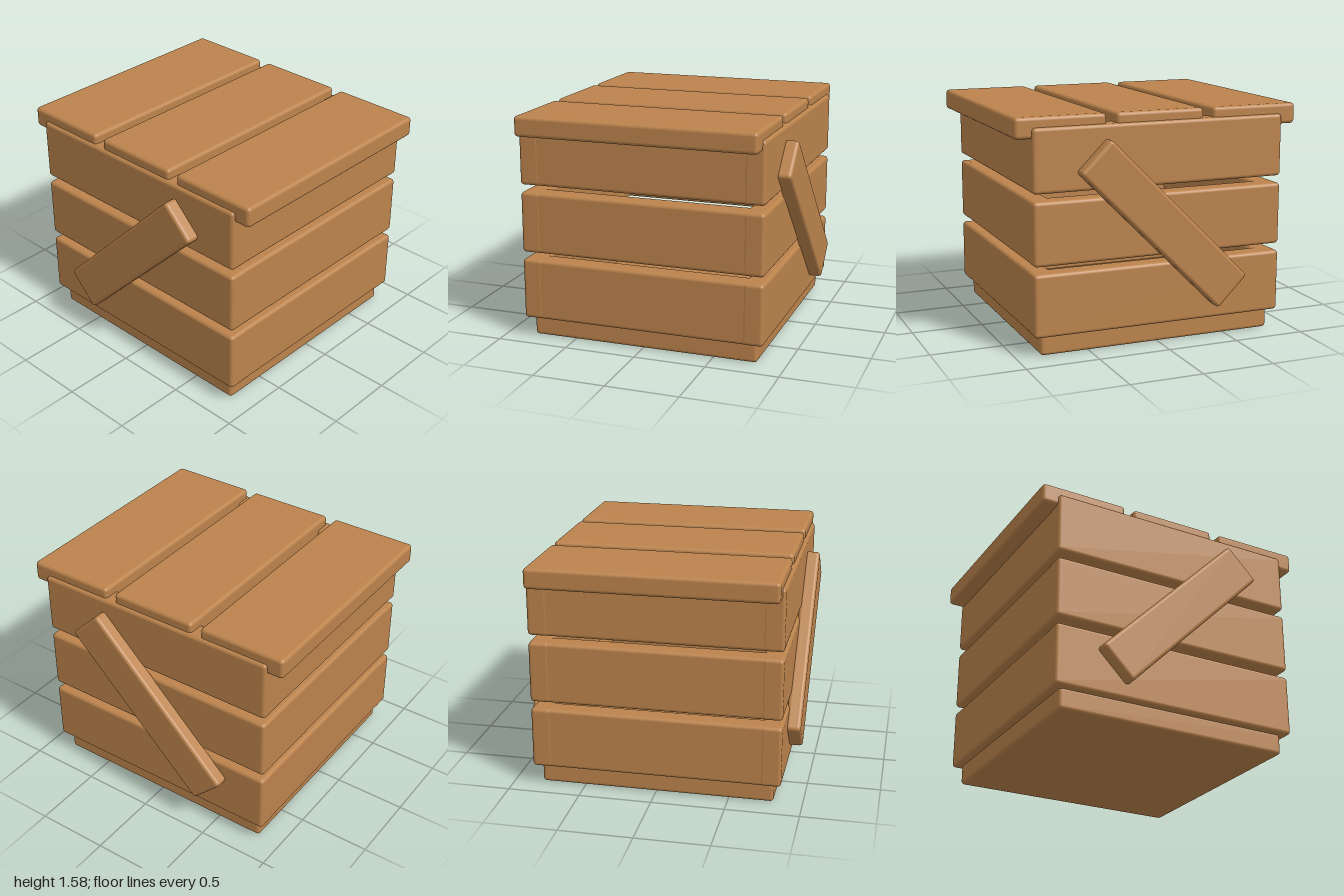
import * as THREE from 'three';
import { RoundedBoxGeometry } from 'three/addons/geometries/RoundedBoxGeometry.js';

const wood = new THREE.MeshStandardMaterial({ color: 0xbb834c });
wood.name = 'wood';

export function createModel() {
  const crate = new THREE.Group();
  crate.name = 'crate';

  // A plank with softly rounded edges, given by its size and centre
  const plank = (name, size, centre) => {
    const mesh = new THREE.Mesh(new RoundedBoxGeometry(...size, 3, 0.025), wood);
    mesh.name = name;
    mesh.position.set(...centre);
    crate.add(mesh);
    return mesh;
  };

  // Base board
  plank('base', [1.67, 0.15, 1.61], [0, 0.075, 0]);

  // Three rows of wall planks on all four sides
  for (const y of [0.35, 0.825, 1.3]) {
    for (const s of [-1, 1]) {
      plank(s > 0 ? 'frontPlank' : 'backPlank', [1.78, 0.425, 0.145], [0, y, s * 0.785]);
      plank(s > 0 ? 'leftPlank' : 'rightPlank', [0.145, 0.425, 1.5], [s * 0.815, y, 0]);
    }
  }

  // Lid boards
  for (const x of [-0.69, 0, 0.69]) plank('lidBoard', [0.62, 0.14, 1.67], [x, 1.51, 0]);

  // Diagonal braces on front and back
  for (const s of [-1, 1]) {
    const brace = plank(s > 0 ? 'frontBrace' : 'backBrace', [1.4, 0.3, 0.105], [0, 0.825, s * 0.895]);
    brace.rotation.z = Math.PI / 4;
  }

  return crate;
}
